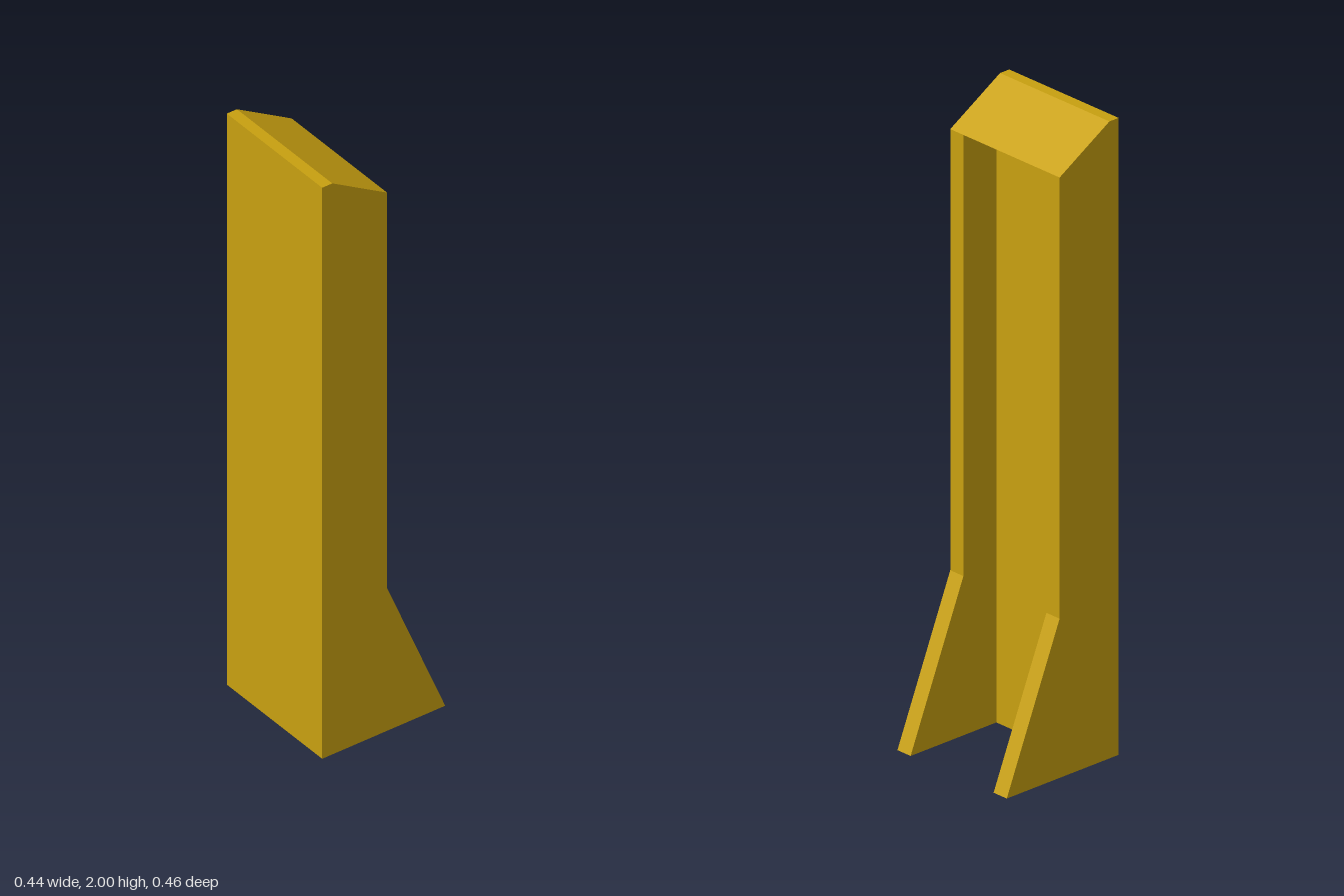
import * as THREE from 'three';

export function createModel() {
  const group = new THREE.Group();
  const ochre = new THREE.MeshStandardMaterial({ color: 0xc8a010 });
  ochre.name = 'ochre';

  const backX = -0.219, innerX = -0.117, edgeX = 0.012, footX = 0.219;
  const halfWidth = 0.228, wall = 0.055;

  // Extrudes an x-y outline from z0 over the given depth
  function slab(name, points, z0, depth) {
    const shape = new THREE.Shape(points.map(([x, y]) => new THREE.Vector2(x, y)));
    const geometry = new THREE.ExtrudeGeometry(shape, { depth, bevelEnabled: false });
    geometry.translate(0, 0, z0);
    const mesh = new THREE.Mesh(geometry, ochre);
    mesh.name = name;
    group.add(mesh);
  }

  // Side walls with a flared foot and a sloping top
  const side = [[backX, 0], [footX, 0], [edgeX, 0.5], [edgeX, 1.885], [-0.183, 2], [backX, 2]];
  slab('leftSideWall', side, halfWidth - wall, wall);
  slab('rightSideWall', side, -halfWidth, wall);

  // Back wall between the sides
  const innerDepth = 2 * (halfWidth - wall);
  slab('backWall', [[backX, 0], [innerX, 0], [innerX, 1.81], [backX, 1.81]],
    -innerDepth / 2, innerDepth);

  // Wedge-shaped cap, sloping above and below to a sharp edge
  slab('cap', [[backX, 1.81], [innerX, 1.81], [edgeX, 1.885], [-0.183, 2], [backX, 2]],
    -innerDepth / 2, innerDepth);

  return group;
}
